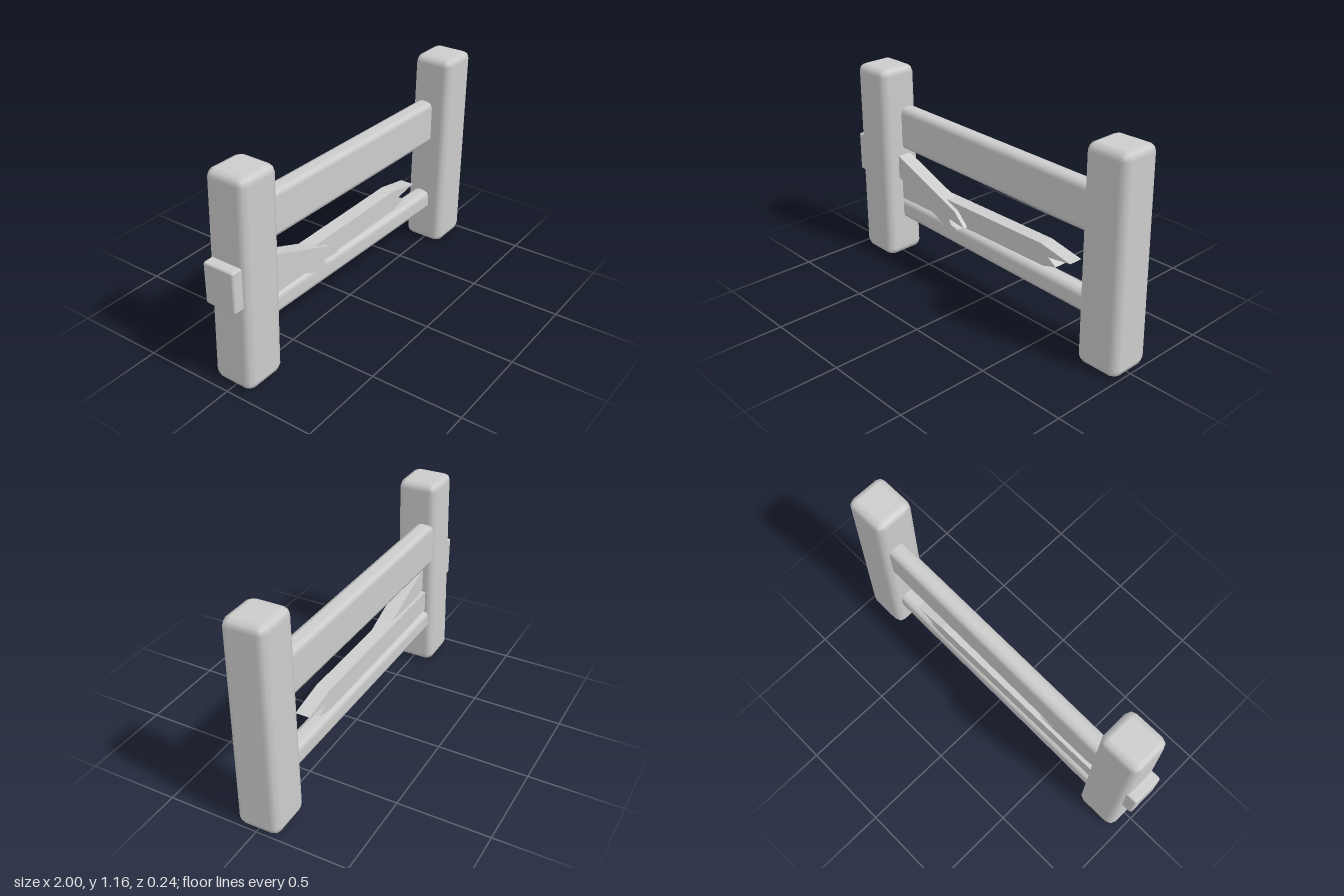
import * as THREE from 'three';

const stone = new THREE.MeshStandardMaterial({ color: 0xcccccc });
stone.name = 'plain grey';

// Box with softened edges: flat faces, smooth-shaded bevels, optional taper to the top
function softBox(w, h, d, r, taper = 1) {
  const geo = new THREE.BoxGeometry(1, 1, 1, 3, 3, 3);
  const pos = geo.attributes.position, nor = geo.attributes.normal;
  const half = new THREE.Vector3(w / 2, h / 2, d / 2);
  const p = new THREE.Vector3(), dir = new THREE.Vector3();
  for (let i = 0; i < pos.count; i++) {
    p.fromBufferAttribute(pos, i);
    for (const a of ['x', 'y', 'z']) {
      dir[a] = Math.abs(p[a]) > 0.4 ? Math.sign(p[a]) : 0;
      p[a] = Math.sign(p[a]) * (half[a] - r);
    }
    dir.normalize();
    p.addScaledVector(dir, r);
    const s = 1 + (taper - 1) * (p.y / h + 0.5);
    pos.setXYZ(i, p.x * s, p.y, p.z * s);
    nor.setXYZ(i, dir.x, dir.y, dir.z);
  }
  return geo;
}

// Broken board: a jagged outline extruded between two depths
function board(points, zBack, zFront) {
  const shape = new THREE.Shape(points.map(([x, y]) => new THREE.Vector2(x, y)));
  const geo = new THREE.ExtrudeGeometry(shape, { depth: zFront - zBack, bevelEnabled: false });
  return geo.translate(0, 0, zBack);
}

export function createModel() {
  const group = new THREE.Group();
  group.name = 'brokenFence';

  const add = (name, geo, position = [0, 0, 0], rotation = [0, 0, 0]) => {
    const mesh = new THREE.Mesh(geo, stone);
    mesh.name = name;
    mesh.position.set(...position);
    mesh.rotation.set(...rotation);
    group.add(mesh);
  };

  // Leaning posts
  add('rightPost', softBox(0.246, 1.14, 0.235, 0.042, 0.96), [-0.826, 0.575, 0.003], [0.013, 0, -0.013]);
  add('leftPost', softBox(0.25, 1.155, 0.235, 0.042, 0.96), [0.871, 0.58, 0.003], [0.013, 0, 0]);

  // Rails running into both posts
  add('topRail', softBox(1.62, 0.25, 0.1, 0.034), [0.02, 0.778, -0.036], [0, -0.014, -0.01]);
  add('bottomRail', softBox(1.62, 0.12, 0.1, 0.034), [0.02, 0.281, -0.032], [0, -0.014, -0.013]);

  // Stub of a rail on the outer side of the post
  add('railStub', softBox(0.12, 0.225, 0.18, 0.012), [-0.94, 0.592, 0]);

  // Snapped middle board
  add('brokenBoard', board([
    [-0.8, 0.36], [0.415, 0.36], [0.505, 0.385], [0.45, 0.42],
    [0.6, 0.44], [0.4, 0.48], [-0.8, 0.48],
  ], -0.07, 0.01));

  // Snapped diagonal board
  add('brokenBrace', board([
    [-0.8, 0.538], [-0.297, 0.326], [-0.205, 0.342], [-0.26, 0.353],
    [-0.275, 0.385], [-0.152, 0.37], [-0.227, 0.444], [-0.8, 0.665],
  ], -0.05, 0.034));

  return group;
}
